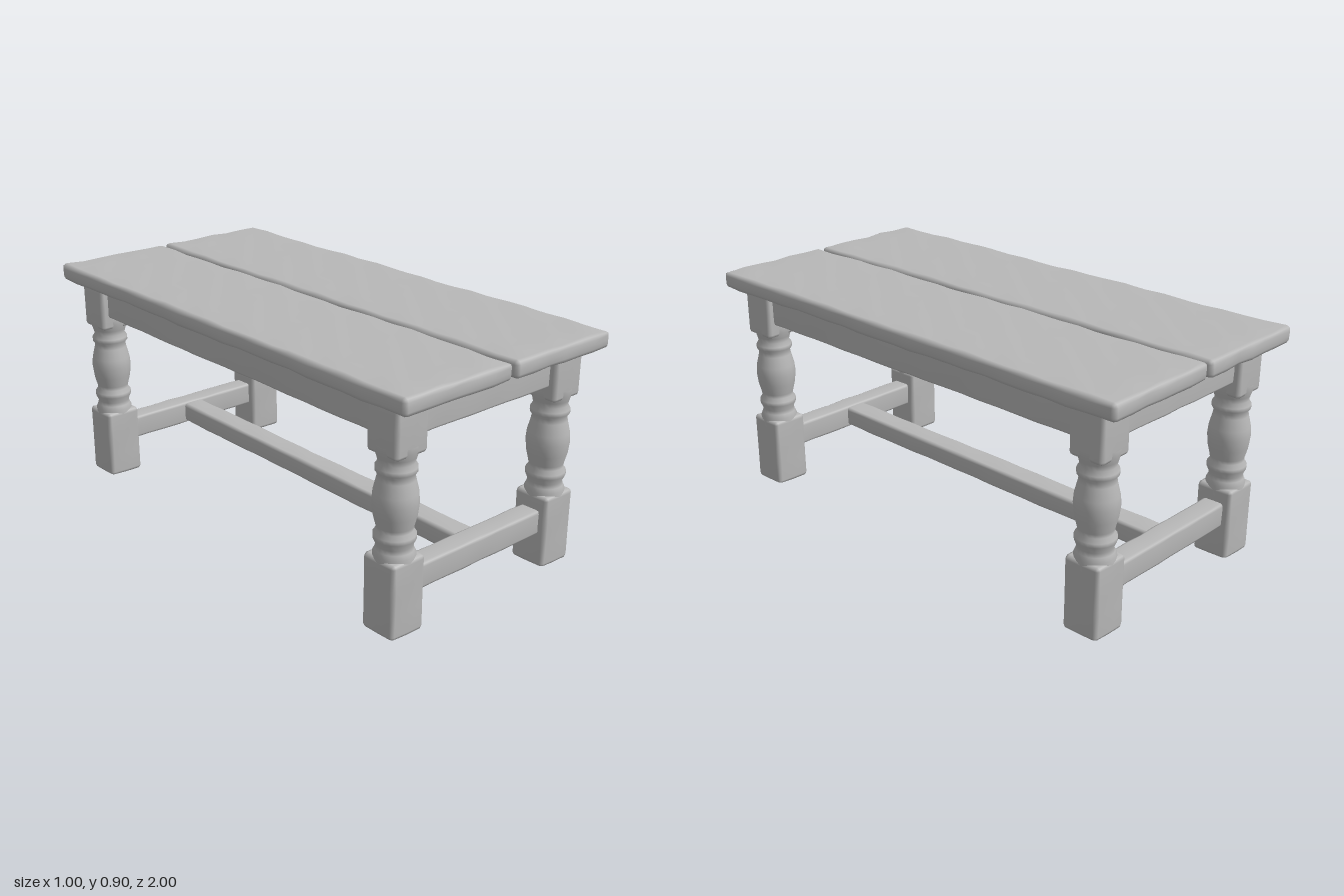
import * as THREE from 'three';
import { mergeVertices } from 'three/addons/utils/BufferGeometryUtils.js';

const wood = new THREE.MeshStandardMaterial({ color: 0xb8b8b8 });
wood.name = 'grey wood';

// Hewn timber: a box with softened edges and a slight, smooth waviness
function timber(name, size, pos, r = 0.015, wobble = 0.004) {
  const segs = size.map((s) => Math.max(4, Math.round(s / 0.09) + 2));
  const geo = new THREE.BoxGeometry(...size, ...segs);
  const p = geo.attributes.position;
  for (let i = 0; i < p.count; i++) {
    const v = [p.getX(i), p.getY(i), p.getZ(i)];
    // Place the first and last grid line one radius from the edge
    const q = v.map((c, a) => {
      const k = Math.round((c / size[a] + 0.5) * segs[a]);
      if (k === 0 || k === segs[a]) return c;
      return (size[a] / 2 - r) * (2 * (k - 1) / (segs[a] - 2) - 1);
    });
    const inner = q.map((c, a) => THREE.MathUtils.clamp(c, r - size[a] / 2, size[a] / 2 - r));
    const d = new THREE.Vector3(...q.map((c, a) => c - inner[a])).normalize();
    // Inward dents only, so that the outer size stays true
    const [x, y, z] = q.map((c, a) => c + pos[a]);
    const dent = wobble * (Math.sin(x * 31 + z * 9) * Math.sin(z * 17 + y * 23 + x * 5) - 1) * 0.5;
    d.multiplyScalar(r + dent);
    p.setXYZ(i, inner[0] + d.x, inner[1] + d.y, inner[2] + d.z);
  }
  geo.deleteAttribute('normal');
  geo.deleteAttribute('uv');
  const smooth = mergeVertices(geo, 1e-4);
  smooth.computeVertexNormals();
  const mesh = new THREE.Mesh(smooth, wood);
  mesh.name = name;
  mesh.position.set(...pos);
  return mesh;
}

// Turned baluster between the square blocks: [radius, height]
const profile = [
  [0.074, 0.25], [0.073, 0.29], [0.066, 0.305], [0.062, 0.32], [0.073, 0.345], [0.073, 0.36],
  [0.062, 0.375], [0.064, 0.39], [0.074, 0.43], [0.079, 0.475], [0.076, 0.51], [0.065, 0.555],
  [0.062, 0.572], [0.071, 0.585], [0.071, 0.6], [0.061, 0.615], [0.066, 0.635], [0.074, 0.66], [0.074, 0.68],
].map(([r, y]) => new THREE.Vector2(r, y));

function leg(x, z) {
  const g = new THREE.Group();
  g.name = 'leg';
  const turned = new THREE.Mesh(new THREE.LatheGeometry(profile, 20), wood);
  turned.name = 'turnedBaluster';
  g.add(timber('footBlock', [0.15, 0.285, 0.15], [0, 0.1425, 0], 0.016));
  g.add(turned);
  g.add(timber('topBlock', [0.145, 0.195, 0.145], [0, 0.7425, 0], 0.016));
  g.position.set(x, 0, z);
  return g;
}

export function createModel() {
  const table = new THREE.Group();
  table.name = 'table';

  for (const s of [-1, 1]) {
    // Two wide planks with a narrow gap between them
    table.add(timber('topPlank', [0.497, 0.073, 2], [s * 0.2525, 0.863, 0], 0.02, 0.008));
    // Legs, aprons and end stretchers
    for (const t of [-1, 1]) table.add(leg(s * 0.38, t * 0.85));
    table.add(timber('sideApron', [0.08, 0.135, 1.62], [s * 0.385, 0.765, 0], 0.012));
    table.add(timber('endApron', [0.68, 0.135, 0.08], [0, 0.765, s * 0.855], 0.012));
    table.add(timber('endStretcher', [0.68, 0.1, 0.09], [0, 0.178, s * 0.85], 0.014));
  }

  // Long stretcher near the floor and a batten under the gap
  table.add(timber('longStretcher', [0.1, 0.083, 1.68], [0, 0.18, 0], 0.014));
  table.add(timber('centreBatten', [0.08, 0.08, 1.66], [0, 0.795, 0], 0.01));
  return table;
}
